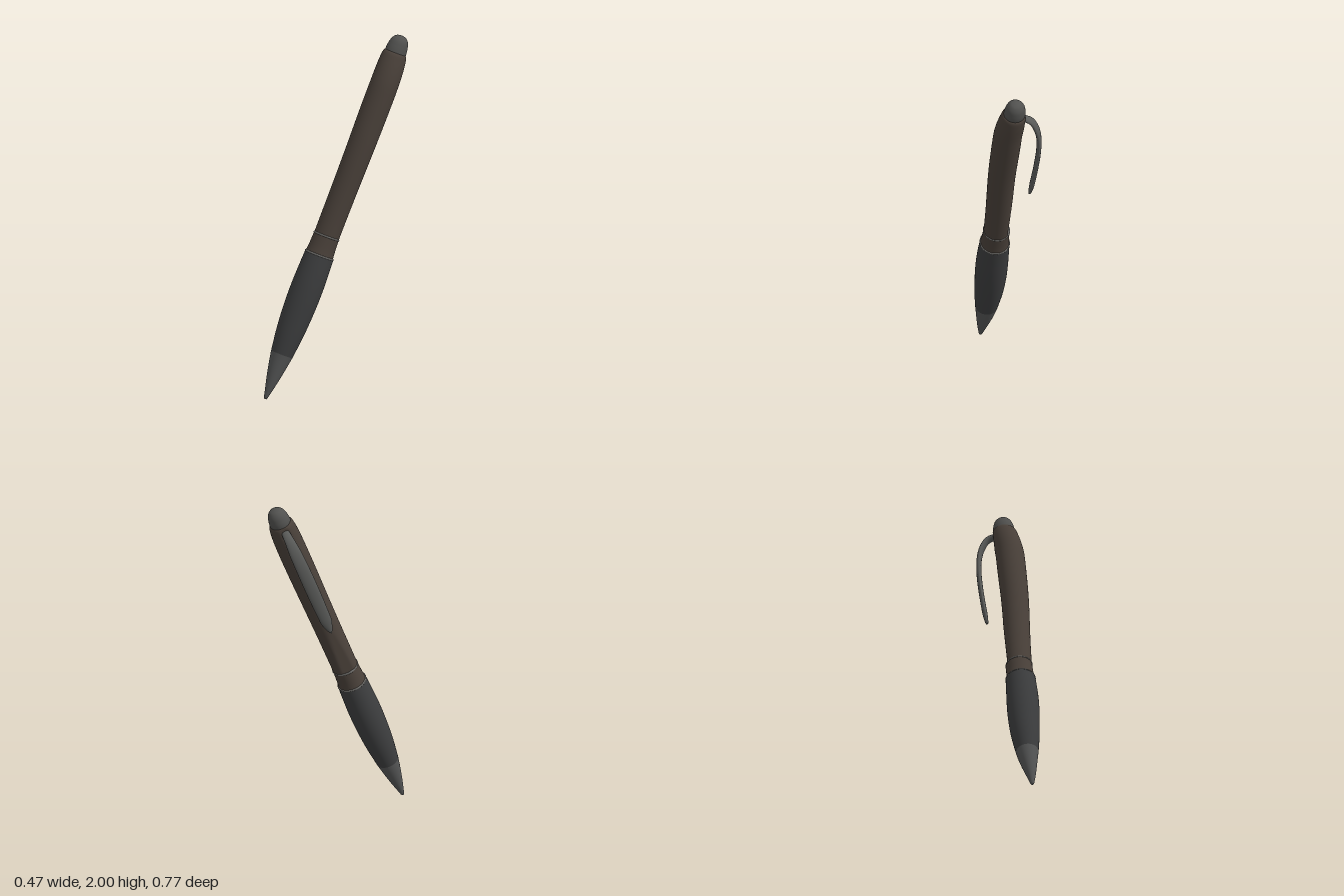
import * as THREE from 'three';
import { mergeVertices } from 'three/addons/utils/BufferGeometryUtils.js';

const { smoothstep } = THREE.MathUtils;

// Sideways drift of the pen's centre line along its length (+x is the clip side).
const drift = (s) =>
  0.008 * smoothstep(s, 0, 0.25) * (1 - smoothstep(s, 0.4, 0.8)) -
  0.02 * smoothstep(s, 0.9, 1.6) * (1 - smoothstep(s, 1.85, 2.1));

// Weld vertices and smooth the normals.
function smooth(geometry) {
  geometry.deleteAttribute('uv');
  geometry.deleteAttribute('normal');
  const welded = mergeVertices(geometry, 1e-5);
  welded.computeVertexNormals();
  return welded;
}

function addMesh(group, name, geometry, color) {
  const material = new THREE.MeshStandardMaterial({ color });
  const mesh = new THREE.Mesh(geometry, material);
  mesh.name = name;
  group.add(mesh);
}

// Turned part from [radius, height] points; flat limits how far it reaches on the clip side.
function turned(points, flat = Infinity, samples = 30) {
  const curve = new THREE.SplineCurve(points.map(([r, s]) => new THREE.Vector2(r, s)));
  const profile = curve.getPoints(samples).map((p) => p.setX(Math.max(p.x, 0)));
  const geometry = new THREE.LatheGeometry(profile, 48);
  const pos = geometry.attributes.position;
  for (let i = 0; i < pos.count; i++) {
    const s = pos.getY(i);
    const x = pos.getX(i) + drift(s);
    pos.setX(i, Math.min(x, flat));
  }
  return smooth(geometry);
}

// Clip: a thin rounded strip swept along a curve, wide in the middle and rounded at the end.
function clipGeometry() {
  const path = new THREE.CatmullRomCurve3([
    [0.15, 1.335], [0.157, 1.45], [0.163, 1.6], [0.163, 1.75],
    [0.152, 1.87], [0.13, 1.95], [0.095, 2.01], [0.04, 2.035],
  ].map(([x, s]) => new THREE.Vector3(x, s, 0)));
  const geometry = new THREE.CylinderGeometry(1, 1, 1, 24, 48);
  const pos = geometry.attributes.position;
  for (let i = 0; i < pos.count; i++) {
    const t = pos.getY(i) + 0.5;
    const p = path.getPointAt(t);
    const d = path.getTangentAt(t);
    const end = Math.sqrt(Math.min(1, t / 0.12 + 0.01));
    const width = end * (0.03 + 0.008 * Math.sin(Math.PI * t) - 0.008 * smoothstep(t, 0.75, 1));
    const thick = pos.getX(i) * 0.014 * (0.4 + 0.6 * end);
    pos.setXYZ(i, p.x + d.y * thick, p.y - d.x * thick, pos.getZ(i) * width);
  }
  return smooth(geometry);
}

export function createModel() {
  const pen = new THREE.Group();
  pen.name = 'pen';

  // Writing end and soft grip
  addMesh(pen, 'tipCone', turned([
    [0, 0], [0.009, 0.004], [0.018, 0.04], [0.034, 0.11], [0.05, 0.19], [0.063, 0.265],
  ]), 0x555656);
  addMesh(pen, 'grip', turned([
    [0.063, 0.265], [0.079, 0.4], [0.088, 0.54], [0.09, 0.66], [0.087, 0.77], [0.083, 0.855],
  ]), 0x3d3e3f);

  // Collar band between two bright rings
  addMesh(pen, 'collar', turned([[0.08, 0.855], [0.076, 0.9], [0.073, 0.97]]), 0x4a413a);
  for (const [name, radius, s] of [['lowerRing', 0.079, 0.857], ['upperRing', 0.07, 0.97]]) {
    const ring = new THREE.TorusGeometry(radius, 0.006, 10, 48);
    ring.rotateX(Math.PI / 2).translate(drift(s), s, 0);
    addMesh(pen, name, ring, 0x6a6966);
  }

  // Barrel, flattened below the clip
  addMesh(pen, 'barrel', turned([
    [0.072, 0.97], [0.0725, 1.1], [0.0735, 1.25], [0.076, 1.45], [0.079, 1.65], [0.08, 1.82],
    [0.078, 1.95], [0.073, 2.02], [0.066, 2.055], [0.05, 2.068],
  ], 0.062, 60), 0x4a413a);

  // Push button with a domed top
  addMesh(pen, 'pushButton', turned([
    [0.06, 2.04], [0.06, 2.075], [0.057, 2.1], [0.049, 2.13], [0.033, 2.152], [0.015, 2.16], [0, 2.162],
  ]), 0x51514f);

  addMesh(pen, 'clip', clipGeometry(), 0x5a5b59);

  // Lean the pen: y runs along the barrel, x points to the clip
  const along = new THREE.Vector3(0.4, 2, -0.725).normalize();
  const toClip = new THREE.Vector3(-0.71, 0, -0.7);
  toClip.addScaledVector(along, -toClip.dot(along)).normalize();
  const across = new THREE.Vector3().crossVectors(toClip, along);
  pen.quaternion.setFromRotationMatrix(new THREE.Matrix4().makeBasis(toClip, along, across));
  pen.position.set(-0.225, 0, 0.39);

  const model = new THREE.Group();
  model.name = 'clickPen';
  model.add(pen);
  return model;
}
